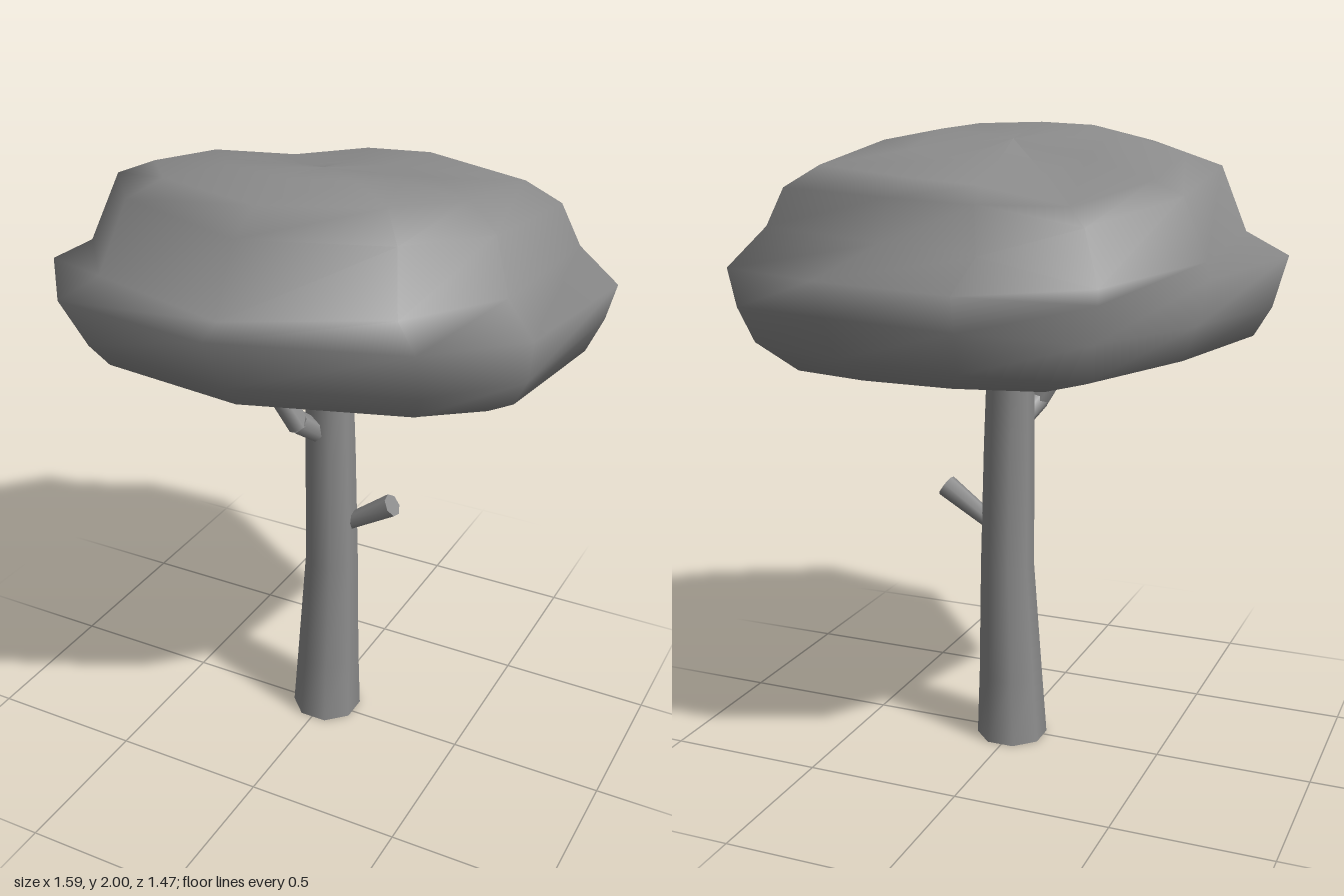
import * as THREE from 'three';

const material = new THREE.MeshStandardMaterial({ color: 0x8c8c8c, side: THREE.DoubleSide });

// Irregular plan outlines as x, z and lift of each corner: wide rim of the foliage, crown above it
const rim = [
  [-0.11, -0.73, 0.01], [0.3, -0.74, 0.03], [0.79, -0.4, -0.02], [0.75, 0.23, 0], [0.52, 0.49, 0],
  [0.02, 0.73, 0.02], [-0.52, 0.62, 0], [-0.8, 0.27, -0.02], [-0.68, -0.23, -0.01], [-0.46, -0.55, -0.03],
];
const crown = [
  [-0.12, -0.58, -0.02], [0.17, -0.58, 0], [0.68, -0.34, 0], [0.66, 0.2, 0.03], [0.45, 0.45, 0.02],
  [0.0, 0.62, 0], [-0.46, 0.5, 0.01], [-0.67, 0.24, 0], [-0.67, -0.23, -0.04], [-0.46, -0.55, -0.09],
];
const octagon = Array.from({ length: 8 }, (_, i) => {
  const t = ((i + 0.5) / 8) * Math.PI * 2;
  return [Math.sin(t), -Math.cos(t), 0];
});

// Smooth skin over rings listed bottom to top; each ring scales, shifts and tilts its outline
function loft(rings) {
  const n = rings[0].outline.length;
  const pos = [];
  const index = [];
  for (const { outline, y, sx, sz = sx, cx = 0, cz = 0, tx = 0, tz = 0 } of rings) {
    for (const [ox, oz, lift] of outline) {
      const x = ox * sx + cx;
      const z = oz * sz + cz;
      pos.push(x, y + lift * sx + tx * x + tz * z, z);
    }
  }
  for (let r = 0; r < rings.length - 1; r++) {
    for (let j = 0; j < n; j++) {
      const a = r * n + j;
      const b = r * n + ((j + 1) % n);
      index.push(a, a + n, b, b, a + n, b + n);
    }
  }
  const geo = new THREE.BufferGeometry();
  geo.setAttribute('position', new THREE.Float32BufferAttribute(pos, 3));
  geo.setIndex(index);
  geo.computeVertexNormals();
  return geo;
}

// Tapered cylinder between two points
function limb(from, to, r0, r1) {
  const a = new THREE.Vector3(...from);
  const b = new THREE.Vector3(...to);
  const dir = b.clone().sub(a);
  const geo = new THREE.CylinderGeometry(r1, r0, dir.length(), 7);
  geo.applyQuaternion(
    new THREE.Quaternion().setFromUnitVectors(new THREE.Vector3(0, 1, 0), dir.normalize()));
  geo.translate(...a.add(b).multiplyScalar(0.5).toArray());
  return geo;
}

export function createModel() {
  const tree = new THREE.Group();
  tree.name = 'tree';
  const add = (name, geometry) => {
    const mesh = new THREE.Mesh(geometry, material);
    mesh.name = name;
    tree.add(mesh);
  };

  // Hollow trunk, flaring at the foot
  add('trunk', loft([
    { outline: octagon, y: 0, sx: 0.116, cx: 0.004, cz: -0.016 },
    { outline: octagon, y: 0.22, sx: 0.104, cx: 0.008, cz: -0.018 },
    { outline: octagon, y: 0.6, sx: 0.087, cx: 0.016, cz: -0.026 },
    { outline: octagon, y: 1.0, sx: 0.081, cx: 0.008, cz: -0.03 },
    { outline: octagon, y: 1.36, sx: 0.073, cx: 0, cz: -0.032 },
  ]));

  // Flared stub on the left, bent branch reaching into the leaves
  add('stubBranch', limb([0.06, 0.735, -0.037], [0.228, 0.848, -0.037], 0.026, 0.038));
  add('bentBranchBase', limb([-0.015, 1.085, 0.02], [-0.048, 1.14, 0.088], 0.036, 0.038));
  add('bentBranchTip', limb([-0.042, 1.125, 0.083], [-0.165, 1.34, 0.122], 0.037, 0.036));

  // Foliage: rounded underside, pointed rim, then the stepped-in crown sloping to the back
  add('foliage', loft([
    { outline: rim, y: 1.27, sx: 0, cx: 0.03, cz: -0.1 },
    { outline: rim, y: 1.27, sx: 0.25, cx: 0.03, cz: -0.1 },
    { outline: rim, y: 1.317, sx: 0.68, sz: 0.6, cx: 0.05, cz: -0.1, tx: -0.04, tz: 0.05 },
    { outline: rim, y: 1.385, sx: 0.9, sz: 0.84, cz: -0.05, tz: 0.04 },
    { outline: rim, y: 1.48, sx: 0.96, sz: 0.91, cz: -0.04 },
    { outline: rim, y: 1.62, sx: 1, tz: 0.05 },
    { outline: crown, y: 1.695, sx: 1, tx: 0.01, tz: -0.01 },
    { outline: crown, y: 1.86, sx: 0.9, cz: -0.04, tx: -0.03, tz: 0.05 },
    { outline: crown, y: 1.915, sx: 0.75, sz: 0.74, cz: -0.05, tz: 0.08 },
    { outline: crown, y: 1.945, sx: 0.42, cx: 0.03, cz: 0.05, tz: 0.18 },
    { outline: crown, y: 1.95, sx: 0, cx: 0.03, cz: 0.06, tz: 0.18 },
  ]));

  return tree;
}
